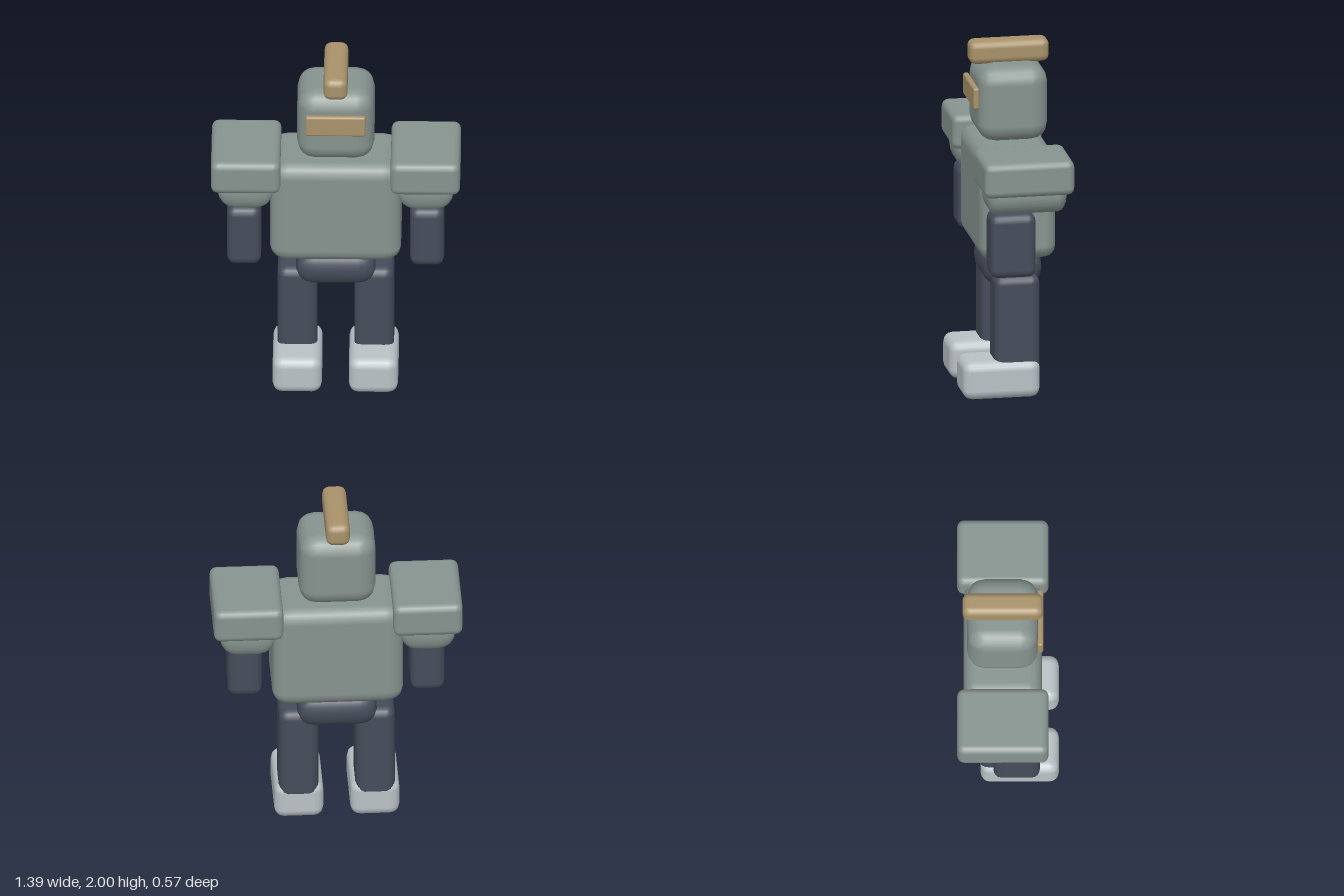
import * as THREE from 'three';
import { RoundedBoxGeometry } from 'three/addons/geometries/RoundedBoxGeometry.js';

const material = (name, color) => {
  const m = new THREE.MeshStandardMaterial({ color });
  m.name = name;
  return m;
};

// Rounded box between two corners; the bevel may differ along x, y and z.
function block(name, mat, [x0, x1], [y0, y1], [z0, z1], bevel) {
  const [bx, by, bz] = Array.isArray(bevel) ? bevel : [bevel, bevel, bevel];
  const geo = new RoundedBoxGeometry((x1 - x0) / bx, (y1 - y0) / by, (z1 - z0) / bz, 2, 1);
  geo.scale(bx, by, bz);
  const mesh = new THREE.Mesh(geo, mat);
  mesh.name = name;
  mesh.position.set((x0 + x1) / 2, (y0 + y1) / 2, (z0 + z1) / 2);
  return mesh;
}

export function createModel() {
  const armour = material('grey green armour', 0x87948f);
  const joint = material('dark slate', 0x454c5a);
  const brass = material('brass', 0xa8926a);
  const boot = material('pale grey', 0xbac2c6);

  const robot = new THREE.Group();
  robot.name = 'robot';

  // Head, visor and crest
  robot.add(
    block('head', armour, [-0.215, 0.215], [1.445, 1.88], [-0.23, 0.167], 0.1),
    block('visor', brass, [-0.168, 0.168], [1.64, 1.765], [0.162, 0.196], 0.013),
    block('crest', brass, [-0.067, 0.067], [1.867, 2.0], [-0.256, 0.196], 0.04),
  );

  // Body
  robot.add(
    block('torso', armour, [-0.365, 0.365], [0.802, 1.425], [-0.248, 0.188], [0.1, 0.08, 0.07]),
    block('pelvis', joint, [-0.222, 0.222], [0.62, 0.81], [-0.195, 0.138], [0.1, 0.09, 0.06]),
  );

  // Limbs, mirrored on both sides
  for (const side of [1, -1]) {
    const limb = (name, mat, [a, b], y, z, bevel) =>
      robot.add(block((side > 0 ? 'left ' : 'right ') + name, mat,
        side > 0 ? [a, b] : [-b, -a], y, z, bevel));
    limb('shoulder pad', armour, [0.307, 0.695], [1.268, 1.468], [-0.285, 0.225], 0.04);
    limb('shoulder', armour, [0.345, 0.66], [1.145, 1.4], [-0.258, 0.2], [0.1, 0.11, 0.06]);
    limb('arm', joint, [0.415, 0.606], [0.775, 1.145], [-0.083, 0.176], [0.045, 0.05, 0.045]);
    limb('leg', joint, [0.103, 0.325], [0.13, 0.705], [-0.157, 0.1], [0.05, 0.05, 0.05]);
    limb('foot', boot, [0.075, 0.35], [0, 0.22], [-0.155, 0.283], 0.055);
  }
  return robot;
}
